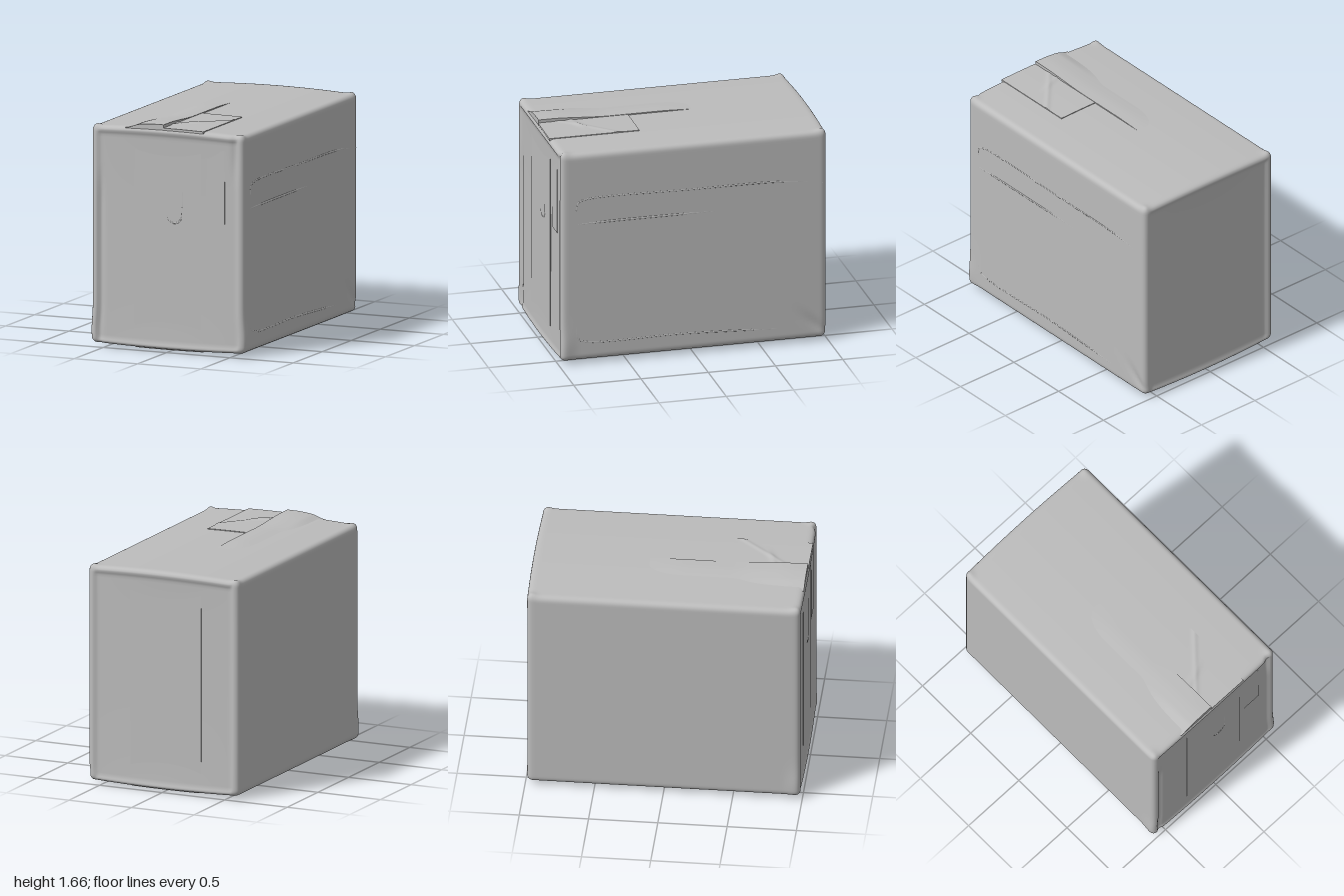
import * as THREE from 'three';
import { mergeVertices } from 'three/addons/utils/BufferGeometryUtils.js';

const { smoothstep, clamp } = THREE.MathUtils;
const cardboard = new THREE.MeshStandardMaterial({ color: 0xbcbcbc });
cardboard.name = 'cardboard';

// Half sizes and rounding of the carton
const HX = 0.602, HZ = 0.986, Y0 = 0.03, Y1 = 1.612, R = 0.04;
const bell = (d, w) => Math.exp(-(d * d) / (w * w));
const crown = (x, z) => 0.018 * (1 - (x / HX) ** 2)
  + 0.012 * bell(Math.abs(x) - 0.575, 0.035) * bell(Math.abs(z) - 0.96, 0.04);
const belly = (x, z) => 0.024 * (1 - (x / HX) ** 2) * (1 - 0.5 * z * z);
const topY = (x, z) => Y1 + crown(x, z);

function add(group, name, geometry) {
  const mesh = new THREE.Mesh(geometry, cardboard);
  mesh.name = name;
  group.add(mesh);
  return mesh;
}

// Move every vertex by a rule
function warp(geometry, rule) {
  const p = geometry.attributes.position, v = new THREE.Vector3();
  for (let i = 0; i < p.count; i++) {
    rule(v.fromBufferAttribute(p, i));
    p.setXYZ(i, v.x, v.y, v.z);
  }
  geometry.computeVertexNormals();
  return geometry;
}

// Rounded carton with bulging top and bottom and ends sunk inside a rim
function cartonGeometry() {
  const box = new THREE.BoxGeometry(2, 2, 2, 56, 56, 56);
  box.deleteAttribute('normal');
  box.deleteAttribute('uv');
  const half = new THREE.Vector3(HX, (Y1 - Y0) / 2, HZ);
  const inner = half.clone().subScalar(R), core = new THREE.Vector3();
  const ease = t => 0.3 * t + 0.7 * Math.sin(t * Math.PI / 2);
  return warp(mergeVertices(box), v => {
    v.set(ease(v.x), ease(v.y), ease(v.z)).multiply(half);
    core.copy(v).clamp(inner.clone().negate(), inner);
    v.sub(core);
    if (v.lengthSq() > 0) v.setLength(R);
    v.add(core);
    const { x, z } = v;
    const y = v.y + (Y0 + Y1) / 2;
    const t = clamp((y - Y0) / (Y1 - Y0), 0, 1);
    const end = smoothstep(Math.abs(z), 0.93, 0.98);
    const panel = (1 - smoothstep(Math.abs(x), 0.53, 0.56))
      * smoothstep(y, 0.045, 0.075) * (1 - smoothstep(y, 1.555, 1.58));
    const bow = 0.011 * (1 - (x / HX) ** 2) * (t ** 8 + (1 - t) ** 8);
    // Soft folds beside the front rim
    const folds = z > 0 ? 0.012 * (bell(x + 0.53, 0.02) * smoothstep(1.35 - y, 0, 0.3)
      + bell(x - 0.53, 0.025) * smoothstep(y, 1.2, 1.5)) : 0;
    v.z = z + Math.sign(z) * end * (bow - 0.014 * panel - folds);
    v.x = x * (1 + 0.018 * bell(y - 0.12, 0.12) * smoothstep(z, 0.85, 0.97));
    v.y = y + t ** 8 * crown(x, z) - (1 - t) ** 8 * belly(x, z);
    // Knocked lower back corner
    v.x -= 0.012 * bell((z + 0.9) + (0.14 - y), 0.04) * bell(y - 0.13, 0.1) * (x > 0.5 ? 1 : 0);
  });
}

// Thin sheet that follows the top, with its own height rule
function topSheet(x0, x1, z0, z1, height) {
  const g = new THREE.BoxGeometry(x1 - x0, 1, z1 - z0, 24, 1, 60);
  g.translate((x0 + x1) / 2, 0, (z0 + z1) / 2);
  return warp(g, v => {
    v.y = topY(v.x, v.z) + (v.y > 0 ? height(v.x, v.z) : -0.012);
  });
}

export function createModel() {
  const group = new THREE.Group();
  group.name = 'carton';
  add(group, 'cartonBody', cartonGeometry());

  // Upright tape bands on both ends
  const band = (name, x0, x1, y0, y1, z) => add(group, name,
    new THREE.BoxGeometry(x1 - x0, y1 - y0, 0.008)).position.set((x0 + x1) / 2, (y0 + y1) / 2, z);
  band('frontTape', -0.265, 0.26, 0.06, 1.57, 0.972);
  band('backTape', -0.3, 0.265, 0.06, 1.57, -0.972);
  band('frontLabel', 0.305, 0.447, 0.965, 1.5, 0.971);

  // Overlapping left flap, lifting towards the front
  add(group, 'topFlap', topSheet(-0.33, -0.03, -0.36, 0.985, (x, z) =>
    -0.006 + 0.014 * smoothstep(z, -0.36, 0.1) * smoothstep(x, -0.33, -0.1)
    + 0.02 * smoothstep(z, 0.45, 0.9) * smoothstep(x, -0.33, -0.22)));

  // Creased tape patch beside the flap
  add(group, 'topTape', topSheet(-0.03, 0.285, 0.32, 0.99, (x, z) =>
    0.005 + 0.006 * bell(z - 0.74 + 0.35 * x, 0.025) * (1 - smoothstep(x, 0.05, 0.2))
    + 0.005 * bell((z - 0.62) + 1.1 * (x - 0.16), 0.025)));

  // Tape along the bottom
  const bottomTape = new THREE.BoxGeometry(0.53, 0.008, 1.9, 16, 1, 40);
  add(group, 'bottomTape', warp(bottomTape, v => { v.y += Y0 - belly(v.x, v.z) - 0.001; }));

  // Shallow embossed creases
  const crease = (name, points, radius) => add(group, name, new THREE.TubeGeometry(
    new THREE.CatmullRomCurve3(points.map(p => new THREE.Vector3(...p)), false, 'centripetal'),
    60, radius, 8));
  const sx = HX - 0.006;
  crease('upperSideCrease', [[sx, 1.18, 0.87], [sx, 1.24, 0.86], [sx, 1.262, 0.8],
    [sx, 1.262, 0], [sx, 1.255, -0.65], [sx - 0.003, 1.22, -0.96]], 0.008);
  crease('middleSideCrease', [[sx - 0.002, 1.075, 0.87], [sx, 1.08, 0.6], [sx, 1.08, 0.2],
    [sx - 0.003, 1.078, -0.2]], 0.009);
  crease('lowerSideCrease', [[sx - 0.002, 0.3, 0.875], [sx, 0.2, 0.865], [sx, 0.168, 0.8],
    [sx, 0.16, 0.1], [sx, 0.14, -0.4], [sx - 0.003, 0.12, -0.75]], 0.008);
  crease('frontThumbMark', [[-0.01, 1.0, 0.97], [0.01, 0.96, 0.971], [0.05, 0.945, 0.971],
    [0.095, 0.965, 0.971], [0.11, 1.05, 0.97], [0.11, 1.3, 0.969]], 0.007);
  return group;
}
